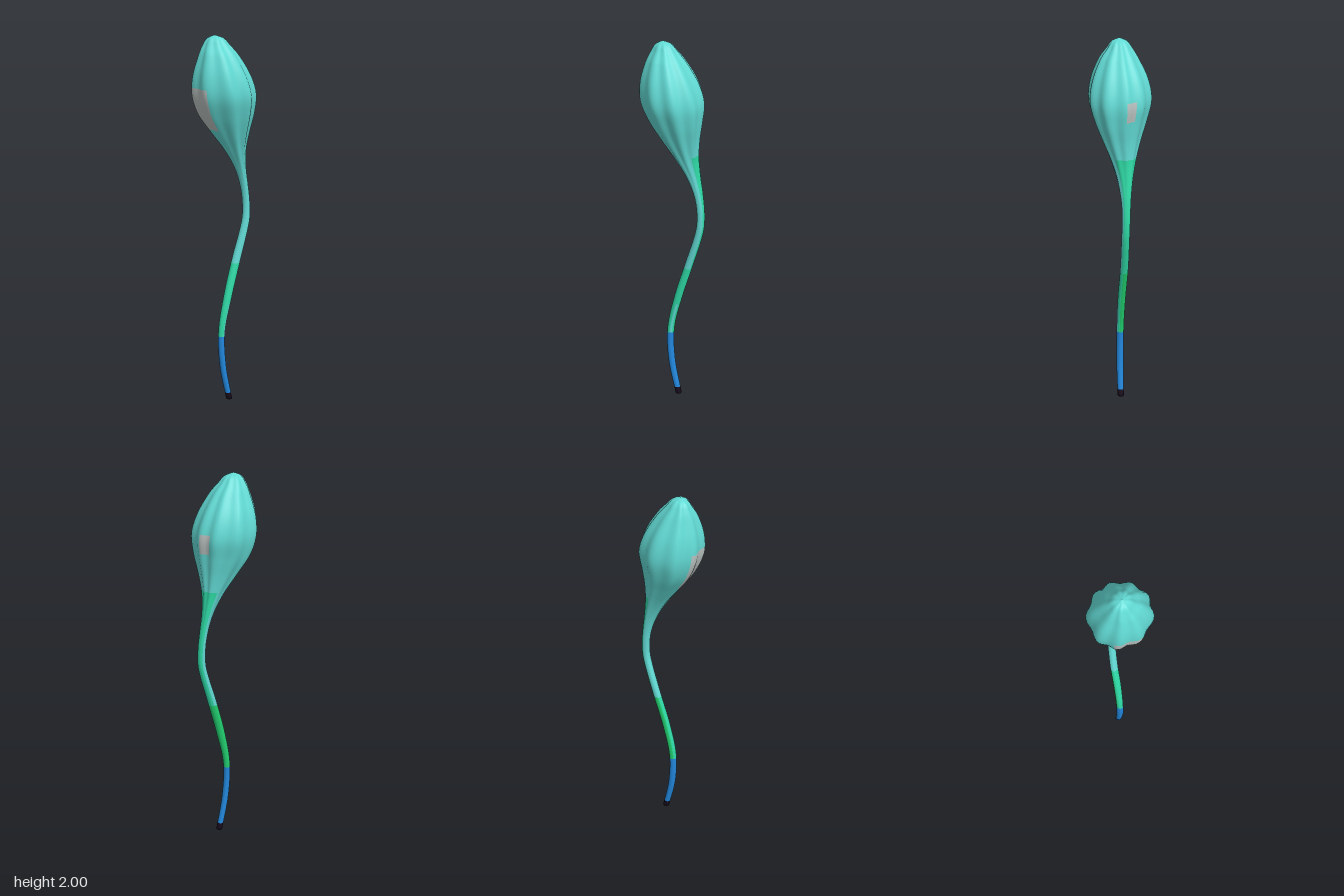
import * as THREE from 'three';

// Cross-sections from crown to tip: height, min x, max x, min z, max z
const SECTIONS = [
  [2, -0.045, -0.045, 0.027, 0.027], [1.985, -0.082, -0.003, -0.01, 0.06], [1.95, -0.107, 0.03, -0.04, 0.085],
  [1.9, -0.128, 0.073, -0.077, 0.118], [1.8, -0.158, 0.132, -0.132, 0.153], [1.7, -0.163, 0.163, -0.155, 0.158],
  [1.6, -0.132, 0.155, -0.138, 0.122], [1.5, -0.065, 0.133, -0.12, 0.072], [1.4, 0.005, 0.117, -0.11, 0.018],
  [1.3, 0.057, 0.118, -0.108, -0.03], [1.2, 0.087, 0.13, -0.11, -0.06], [1.1, 0.1, 0.14, -0.112, -0.071],
  [1, 0.096, 0.138, -0.107, -0.066], [0.8, 0.045, 0.092, -0.077, -0.036], [0.6, 0, 0.045, -0.041, 0],
  [0.4, -0.029, 0.007, -0.016, 0.023], [0.2, -0.021, 0.014, -0.017, 0.021], [0, 0.014, 0.046, -0.036, -0.002],
];
// Directions of the lobes around the bulb, in degrees (0 = +x, 90 = +z)
const LOBES = [0, 38, 76, 125, 163, 202, 248, 290, 320, 360];
const SEGMENTS = 72;

// Catmull-Rom interpolation of the section table at height y
function sectionAt(y) {
  let i = 0;
  while (i < SECTIONS.length - 2 && y < SECTIONS[i + 1][0]) i++;
  const p = SECTIONS[i], q = SECTIONS[i + 1];
  const o = SECTIONS[Math.max(i - 1, 0)], r = SECTIONS[Math.min(i + 2, SECTIONS.length - 1)];
  const h = q[0] - p[0], t = (y - p[0]) / h;
  return [1, 2, 3, 4].map((k) => {
    const m0 = (q[k] - o[k]) / (q[0] - o[0]) * h;
    const m1 = (r[k] - p[k]) / (r[0] - p[0]) * h;
    return (2 * t ** 3 - 3 * t * t + 1) * p[k] + (t ** 3 - 2 * t * t + t) * m0
      + (3 * t * t - 2 * t ** 3) * q[k] + (t ** 3 - t * t) * m1;
  });
}

// Relative radius: full on each lobe, shallower in the furrows between
function lobeRadius(deg, depth) {
  let i = 0;
  while (deg >= LOBES[i + 1]) i++;
  const f = (deg - LOBES[i]) / (LOBES[i + 1] - LOBES[i]);
  return 1.02 - depth * (1 - Math.cos(f * Math.PI * 2)) / 2;
}

// Which part a patch of surface belongs to
function partAt(y, deg) {
  const within = (a, b) => deg > a && deg < b;
  if (y < 0.04) return 'tip';
  if (y < 0.38) return 'lowerTail';
  if (y < 0.78) {
    if (y < 0.55 && within(15, 50)) return 'bulbAndStalk';
    return within(195, 345) ? 'backTail' : 'frontTail';
  }
  if (y < 1.42) return deg > 255 || deg < 12 ? 'stalkStreak' : 'bulbAndStalk';
  if (y > 1.52 && y < 1.735 && within(122, 172)) return 'palePatch';
  if (y > 1.62 && y < 1.72 && within(298, 320)) return 'palePatch';
  return 'bulbAndStalk';
}

export function createModel() {
  const material = (name, color) => {
    const m = new THREE.MeshStandardMaterial({ color });
    m.name = name;
    return m;
  };
  const materials = {
    bulbAndStalk: material('turquoise', 0x62dad4),
    stalkStreak: material('sea green', 0x2fdaa6),
    backTail: material('green', 0x22d070),
    lowerTail: material('blue', 0x2287dc),
    tip: material('near black', 0x170c1c),
    palePatch: material('pale grey', 0xb9c2c0),
  };
  materials.frontTail = materials.stalkStreak;

  // Ring heights: closely spaced at the crown, then even steps to the tip
  const heights = [];
  for (let i = 0; i < 16; i++) heights.push(2 - 0.1 * (i / 16) ** 2);
  for (let y = 1.9; y > 0.001; y -= 0.02) heights.push(y);
  heights.push(0, 0);

  // One continuous skin over bulb and tail
  const positions = [];
  heights.forEach((y, i) => {
    const [x0, x1, z0, z1] = sectionAt(y);
    const depth = 0.02 + 0.07 * THREE.MathUtils.smoothstep(y, 1.15, 1.5);
    const size = i === heights.length - 1 ? 0 : 1;
    for (let j = 0; j < SEGMENTS; j++) {
      const deg = j * 360 / SEGMENTS, a = THREE.MathUtils.degToRad(deg);
      const r = size * lobeRadius(deg, depth) / 2;
      positions.push((x0 + x1) / 2 + Math.cos(a) * r * (x1 - x0), y, (z0 + z1) / 2 + Math.sin(a) * r * (z1 - z0));
    }
  });

  // Sort the faces by part
  const faces = {};
  const allFaces = [];
  for (let i = 0; i < heights.length - 1; i++) {
    for (let j = 0; j < SEGMENTS; j++) {
      const a = i * SEGMENTS + j, b = i * SEGMENTS + (j + 1) % SEGMENTS;
      const c = a + SEGMENTS, d = b + SEGMENTS;
      const part = partAt((heights[i] + heights[i + 1]) / 2, (j + 0.5) * 360 / SEGMENTS);
      (faces[part] ??= []).push(a, b, c, b, d, c);
      allFaces.push(a, b, c, b, d, c);
    }
  }
  const skin = new THREE.BufferGeometry();
  skin.setAttribute('position', new THREE.Float32BufferAttribute(positions, 3));
  skin.setIndex(allFaces);
  skin.computeVertexNormals();

  // One mesh per part, sharing the smooth normals of the whole skin
  const group = new THREE.Group();
  group.name = 'lobedBulbWithTail';
  for (const [part, index] of Object.entries(faces)) {
    const geometry = new THREE.BufferGeometry();
    geometry.setAttribute('position', skin.getAttribute('position'));
    geometry.setAttribute('normal', skin.getAttribute('normal'));
    geometry.setIndex(index);
    const mesh = new THREE.Mesh(geometry, materials[part]);
    mesh.name = part;
    group.add(mesh);
  }
  return group;
}
